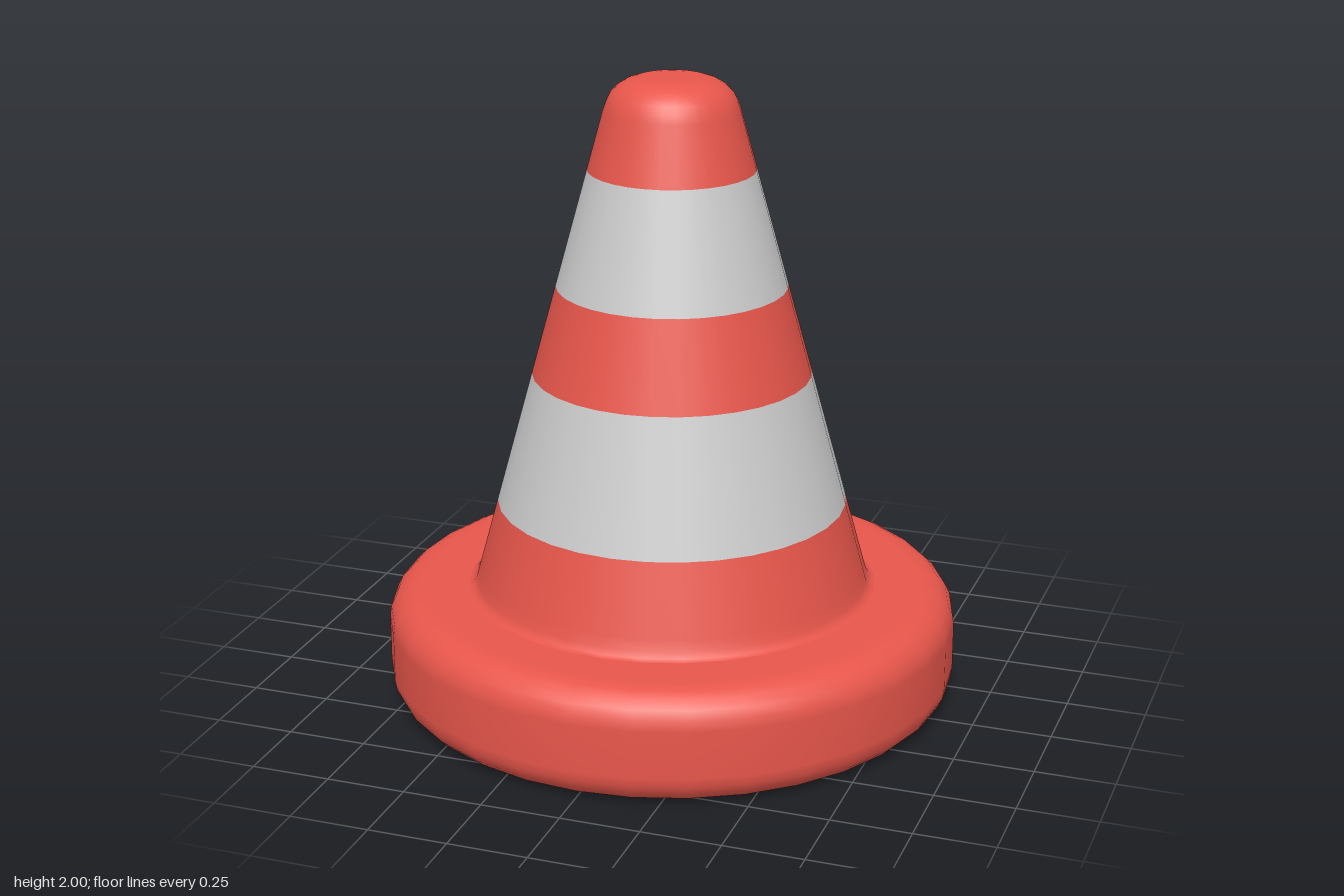
import * as THREE from 'three';

const SEGMENTS = 32;
const red = new THREE.MeshStandardMaterial({ color: 0xe8564b });
const grey = new THREE.MeshStandardMaterial({ color: 0xcccccc });

// Radius of the straight cone wall at height y
const wall = (y) => 0.625 - 0.273 * (y - 0.38);

// Points along a rounded corner, angles in degrees
function arc(cx, cy, rx, ry, from, to, steps) {
  const points = [];
  for (let i = 0; i <= steps; i++) {
    const a = THREE.MathUtils.degToRad(from + ((to - from) * i) / steps);
    points.push([cx + rx * Math.cos(a), cy + ry * Math.sin(a)]);
  }
  return points;
}

// Turned part from a profile of [radius, height], listed bottom to top
function turned(name, profile, material) {
  const points = profile.map(([r, y]) => new THREE.Vector2(Math.max(r, 0), y));
  const mesh = new THREE.Mesh(new THREE.LatheGeometry(points, SEGMENTS), material);
  mesh.name = name;
  return mesh;
}

export function createModel() {
  const model = new THREE.Group();
  model.name = 'trafficCone';

  // Thick round base with softened rims
  model.add(turned('base', [
    [0, 0], [0.78, 0],
    ...arc(0.8, 0.105, 0.105, 0.105, -90, 0, 5),
    ...arc(0.8, 0.255, 0.105, 0.105, 0, 90, 5),
    [0.78, 0.36], [0, 0.36],
  ], red));

  // Foot of the cone, flaring slightly where it meets the base
  model.add(turned('coneFoot', [
    [0.65, 0.36], [0.635, 0.366], [wall(0.385), 0.385], [wall(0.42), 0.42], [wall(0.645), 0.645],
  ], red));

  // Alternating bands up the cone
  const bands = [
    ['lowerStripe', 0.645, 1.065, grey],
    ['middleBand', 1.065, 1.347, red],
    ['upperStripe', 1.347, 1.715, grey],
  ];
  for (const [name, y0, y1, material] of bands) {
    model.add(turned(name, [[wall(y0), y0], [wall(y1), y1]], material));
  }

  // Tip with a rounded crown
  model.add(turned('tip', [
    [wall(1.715), 1.715], [wall(1.9), 1.9],
    ...arc(0.08, 1.9, 0.125, 0.1, 15, 90, 5),
    [0, 2],
  ], red));

  return model;
}
